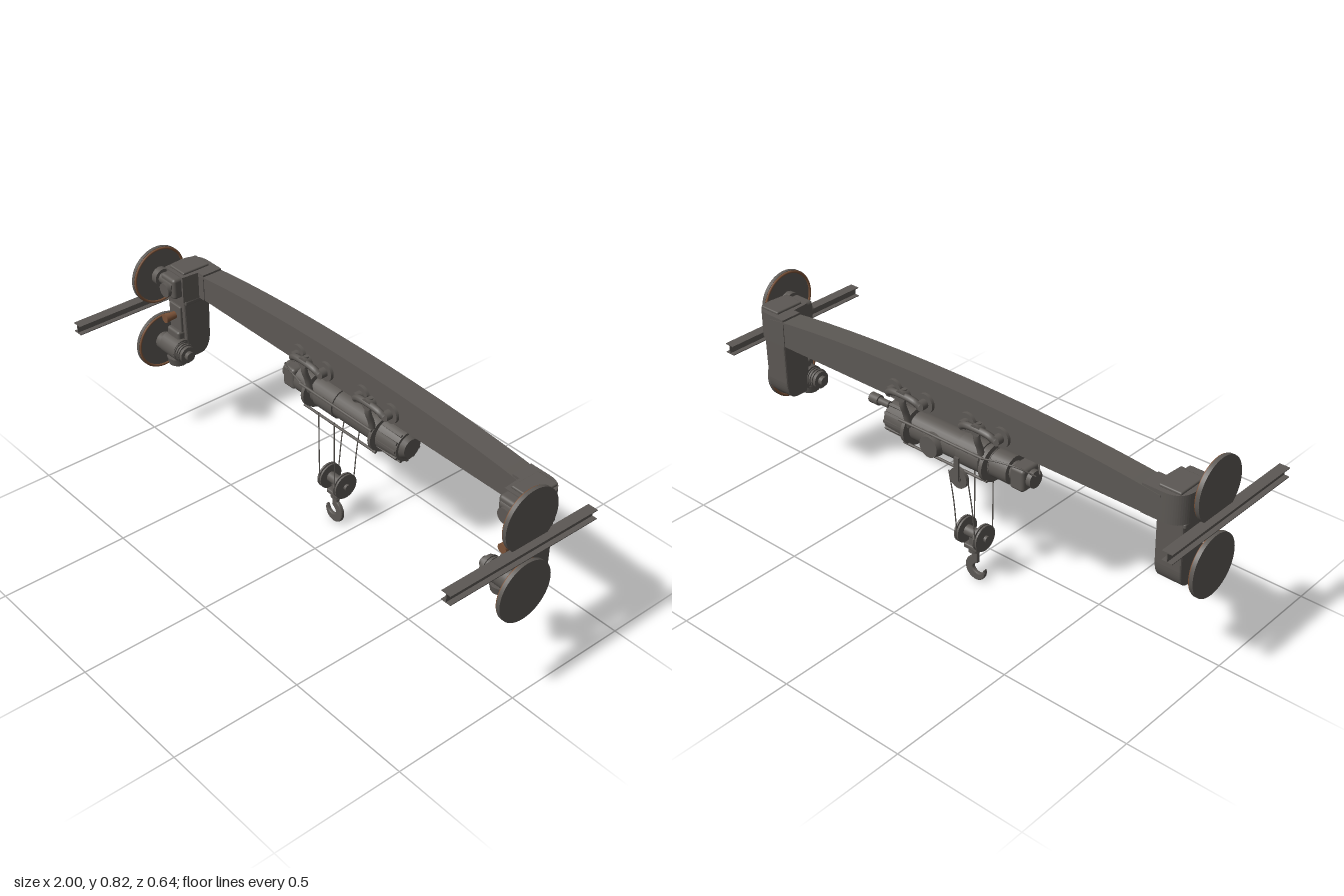
import * as THREE from 'three';
import { RoundedBoxGeometry } from 'three/addons/geometries/RoundedBoxGeometry.js';

const V = (x, y, z) => new THREE.Vector3(x, y, z);

export function createModel() {
  const root = new THREE.Group();
  const steel = new THREE.MeshStandardMaterial({ color: 0x5c5854, side: THREE.DoubleSide });
  steel.name = 'dark steel';
  const rust = new THREE.MeshStandardMaterial({ color: 0x7a5238 });
  rust.name = 'rust brown';

  const add = (name, geo, x = 0, y = 0, z = 0, mat = steel) => {
    const m = new THREE.Mesh(geo, mat);
    m.name = name;
    m.position.set(x, y, z);
    root.add(m);
    return m;
  };
  // cylinder along an axis, centred on the given point
  const cyl = (name, axis, r, len, x, y, z, mat = steel, r2 = r, n = 28) => {
    const g = new THREE.CylinderGeometry(r2, r, len, n);
    if (axis === 'x') g.rotateZ(-Math.PI / 2);
    if (axis === 'z') g.rotateX(Math.PI / 2);
    return add(name, g, x, y, z, mat);
  };
  const box = (name, w, h, d, x, y, z, r = 0) =>
    add(name, r ? new RoundedBoxGeometry(w, h, d, 3, r) : new THREE.BoxGeometry(w, h, d), x, y, z);
  const tube = (name, pts, r, n = 24) =>
    add(name, new THREE.TubeGeometry(new THREE.CatmullRomCurve3(pts.map(p => V(...p))), n, r, 8));
  const extrude = (shape, depth, bevel = 0) => new THREE.ExtrudeGeometry(shape, {
    depth, curveSegments: 14, bevelEnabled: bevel > 0, bevelSize: bevel, bevelThickness: bevel, bevelSegments: 2 });

  const ZB = -0.172;               // centre line of the girder

  // arched girder with a thin overhanging top flange
  const girder = new THREE.Shape();
  girder.moveTo(-0.87, 0.633);
  girder.lineTo(0.87, 0.633);
  girder.lineTo(0.87, 0.72);
  girder.bezierCurveTo(0.4, 0.783, -0.4, 0.783, -0.87, 0.72);
  add('girder', extrude(girder, 0.078), 0, 0, ZB - 0.039);
  const flange = new THREE.Shape();
  flange.moveTo(-0.87, 0.718);
  flange.bezierCurveTo(-0.4, 0.782, 0.4, 0.782, 0.87, 0.718);
  flange.lineTo(0.87, 0.725);
  flange.bezierCurveTo(0.4, 0.789, -0.4, 0.789, -0.87, 0.725);
  add('topFlange', extrude(flange, 0.088), 0, 0, ZB - 0.044);

  // end carriages
  for (const s of [-1, 1]) {
    // knee that turns the girder towards the front, drawn in plan
    const knee = new THREE.Shape();
    knee.moveTo(s * 0.80, 0.214);
    knee.lineTo(s * 0.88, 0.214);
    knee.quadraticCurveTo(s * 0.952, 0.212, s * 0.952, 0.14);
    knee.lineTo(s * 0.945, 0.06);
    knee.lineTo(s * 0.835, 0.06);
    knee.lineTo(s * 0.83, 0.13);
    knee.lineTo(s * 0.80, 0.13);
    const kneeGeo = extrude(knee, 0.108);
    kneeGeo.rotateX(-Math.PI / 2);
    add('endKnee', kneeGeo, 0, 0.633, 0);
    box('kneeCap', 0.085, 0.012, 0.12, s * 0.89, 0.744, -0.135, 0.005);

    // leg, drawn from the side
    const leg = new THREE.Shape();
    leg.moveTo(0.07, 0.64);
    leg.lineTo(0.178, 0.64);
    leg.lineTo(0.175, 0.45);
    leg.quadraticCurveTo(0.17, 0.385, 0.13, 0.385);
    leg.lineTo(0.09, 0.385);
    leg.lineTo(0.075, 0.46);
    const legGeo = extrude(leg, 0.09, 0.006);
    legGeo.rotateY(Math.PI / 2);
    add('leg', legGeo, s * 0.89 - 0.045, 0, 0);
    box('legCollar', 0.116, 0.02, 0.115, s * 0.89, 0.625, -0.125, 0.006);
    box('legFrontPlate', 0.07, 0.13, 0.02, s * 0.89, 0.54, -0.066, 0.005);

    // wheels, each with a worn tread on the inner side
    for (const y of [0.707, 0.42]) {
      cyl('wheel', 'x', 0.115, 0.014, s * 0.966, y, -0.043, steel, 0.115, 48);
      const rim = new THREE.TorusGeometry(0.109, 0.005, 8, 48);
      rim.rotateY(Math.PI / 2);
      add('wheelTread', rim, s * 0.958, y, -0.043, rust);
      cyl('wheelHub', 'x', 0.035, 0.03, s * 0.948, y, -0.043);
      cyl('axle', 'x', 0.022, 0.11, s * 0.91, y, -0.043);
    }
    // upper bearing
    box('upperBearing', 0.085, 0.085, 0.05, s * 0.885, 0.695, -0.05, 0.012);
    cyl('bearingCap', 'z', 0.028, 0.02, s * 0.885, 0.685, -0.02);
    // lower drive motor
    cyl('driveHousing', 'x', 0.045, 0.09, s * 0.885, 0.425, -0.05);
    cyl('driveMotor', 'x', 0.034, 0.05, s * 0.825, 0.425, -0.045);
    cyl('driveMotorCap', 'x', 0.018, 0.018, s * 0.792, 0.425, -0.045);
    cyl('driveGear', 'y', 0.036, 0.03, s * 0.87, 0.378, -0.045, steel, 0.042, 12);
    for (let i = 0; i < 3; i++) cyl('driveFin', 'x', 0.039, 0.005, s * (0.815 + i * 0.012), 0.425, -0.045);
    box('driveMount', 0.075, 0.06, 0.07, s * 0.89, 0.47, -0.075, 0.01);
    // brown buffer on a stem
    cyl('bufferStem', 'z', 0.008, 0.1, s * 0.89, 0.56, -0.095);
    cyl('buffer', 'z', 0.014, 0.046, s * 0.89, 0.56, -0.032, rust, 0.018);

    // runway rail made of thin flanges and a web
    const rx = s * 0.98;
    box('railTopFlange', 0.04, 0.003, 0.64, rx, 0.6205, 0);
    box('railBottomFlange', 0.04, 0.003, 0.64, rx, 0.5865, 0);
    box('railWeb', 0.003, 0.034, 0.64, rx, 0.6035, 0);
  }

  // trolley rollers, arms and hangers on both faces of the girder
  for (const f of [-1, 1]) {
    const z = ZB + f * 0.046;
    for (const c of [-0.165, 0.17]) {
      for (const d of [-0.073, 0.073]) {
        cyl('trolleyRoller', 'z', 0.036, 0.012, c + d, 0.675, z);
        cyl('rollerHub', 'z', 0.018, 0.035, c + d, 0.675, z + f * 0.014);
      }
      tube('rollerArm', [[c - 0.073, 0.675, z + f * 0.03], [c - 0.05, 0.69, z + f * 0.036],
        [c + 0.05, 0.69, z + f * 0.036], [c + 0.073, 0.675, z + f * 0.03]], 0.013);
      cyl('armJoint', 'z', 0.022, 0.03, c, 0.692, z + f * 0.032);
      tube('hanger', [[c, 0.715, z + f * 0.028], [c, 0.66, z + f * 0.036], [c, 0.61, z + f * 0.02],
        [c, 0.56, z + f * 0.01]], 0.012);
    }
    for (const y of [0.49, 0.59]) cyl('tieRod', 'x', 0.005, 0.38, 0, y, ZB + f * (y < 0.5 ? 0.06 : 0.082));
  }

  // hoist body
  const HY = 0.54, HZ = -0.175;
  cyl('drum', 'x', 0.054, 0.38, 0, HY, HZ);
  cyl('drumCasing', 'x', 0.06, 0.10, -0.1, HY, HZ);
  for (const x of [-0.18, 0.175]) {
    const plate = cyl('endPlate', 'x', 0.084, 0.014, x, HY, HZ);
    plate.scale.y = 0.84;
  }
  cyl('motor', 'x', 0.052, 0.08, -0.225, HY, HZ);
  cyl('motorNeck', 'x', 0.035, 0.03, -0.275, HY, HZ);
  box('motorBox', 0.06, 0.085, 0.09, -0.305, HY, HZ, 0.012);
  cyl('motorCap', 'x', 0.032, 0.02, -0.343, HY, HZ);
  cyl('gearbox', 'x', 0.064, 0.1, 0.235, HY, HZ, steel, 0.058);
  for (let i = 0; i < 12; i++) {
    const a = i * Math.PI / 6;
    const rib = box('gearboxRib', 0.095, 0.008, 0.01, 0.235, HY + Math.cos(a) * 0.061, HZ + Math.sin(a) * 0.061);
    rib.rotation.x = a;
  }
  cyl('gearboxCover', 'x', 0.05, 0.02, 0.292, HY, HZ, steel, 0.036);
  cyl('brakeNeck', 'x', 0.013, 0.06, 0.31, 0.59, HZ - 0.03);
  cyl('brakeMotor', 'x', 0.019, 0.04, 0.347, 0.59, HZ - 0.03);
  cyl('sideCover', 'z', 0.04, 0.03, 0.06, 0.53, HZ - 0.06, steel, 0.046);
  for (const f of [-1, 1]) tube('cable', [[-0.36, 0.56, HZ + f * 0.01], [-0.32, 0.59, HZ + f * 0.045],
    [-0.26, 0.6, HZ + f * 0.07], [-0.18, 0.59, HZ + f * 0.082]], 0.003);

  // guide pulley hanging behind the drum
  cyl('guidePulley', 'z', 0.039, 0.014, -0.072, 0.46, -0.24);
  cyl('guidePulleyHub', 'z', 0.014, 0.026, -0.072, 0.46, -0.24);
  box('guidePulleyStrap', 0.02, 0.09, 0.008, -0.072, 0.5, -0.252);

  // hook block
  const BX = -0.072, BZ = -0.165;
  for (const x of [-0.114, -0.03]) {
    cyl('sheave', 'x', 0.05, 0.007, x - 0.006, 0.193, BZ);
    cyl('sheave', 'x', 0.05, 0.007, x + 0.006, 0.193, BZ);
    cyl('sheaveCore', 'x', 0.042, 0.008, x, 0.193, BZ);
    tube('rope', [[x, 0.205, BZ + 0.047], [x, 0.36, BZ + 0.05], [x + 0.005, 0.5, BZ + 0.056]], 0.0022, 6);
    tube('rope', [[x, 0.205, BZ - 0.045], [x, 0.34, BZ - 0.058], [x + 0.005, 0.47, BZ - 0.075]], 0.0022, 6);
  }
  cyl('blockAxle', 'x', 0.012, 0.125, BX, 0.193, BZ);
  cyl('blockBody', 'x', 0.02, 0.07, BX, 0.193, BZ);
  box('blockStem', 0.03, 0.05, 0.03, BX, 0.165, BZ, 0.005);
  box('swivel', 0.06, 0.018, 0.05, BX, 0.143, BZ, 0.005);
  cyl('swivelNut', 'y', 0.022, 0.018, BX, 0.128, BZ);

  // flat tapered hook: shank, bowl and raised point
  const hook = new THREE.Shape();
  hook.moveTo(-0.008, 0.125);
  hook.lineTo(0.010, 0.125);
  hook.lineTo(0.010, 0.095);
  hook.bezierCurveTo(0.045, 0.08, 0.048, 0.03, 0.018, 0.013);
  hook.bezierCurveTo(-0.01, -0.002, -0.045, 0.012, -0.043, 0.055);
  hook.bezierCurveTo(-0.035, 0.03, -0.015, 0.024, 0.002, 0.034);
  hook.bezierCurveTo(0.02, 0.045, 0.016, 0.066, -0.008, 0.078);
  add('hook', extrude(hook, 0.008, 0.004), BX - 0.006, 0, BZ - 0.004);

  return root;
}
